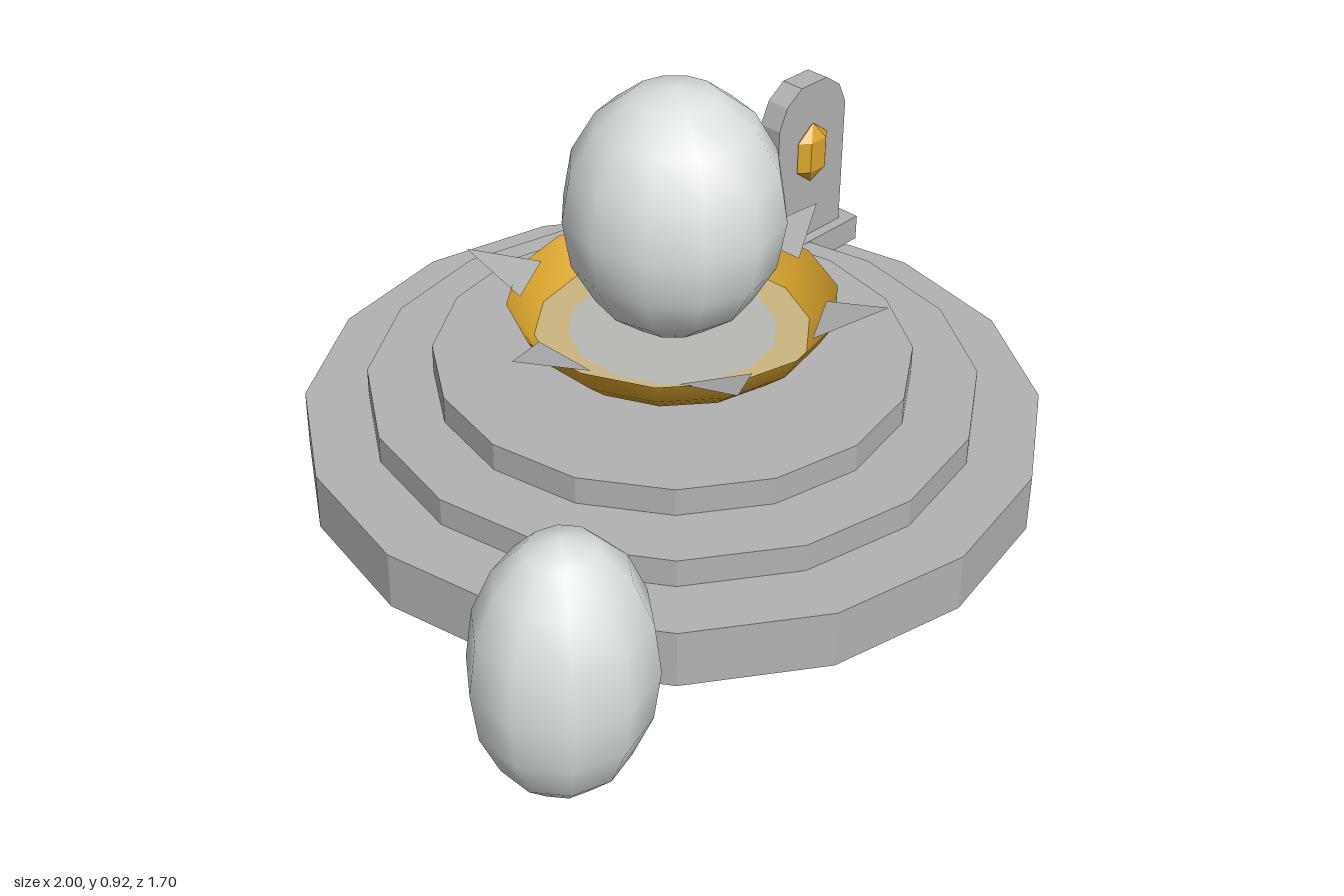
import * as THREE from 'three';

const CX = 0.16, CZ = -0.015; // axis of the dais

const mat = (name, color, extra = {}) => {
  const m = new THREE.MeshStandardMaterial({ color, ...extra });
  m.name = name;
  return m;
};

export function createModel() {
  const group = new THREE.Group();
  group.name = 'eggShrine';
  const stone = mat('stone', 0xb2b2b2, { flatShading: true, side: THREE.DoubleSide });
  const shell = mat('eggShell', 0xdbe1de);
  const gold = mat('gold', 0xdaa52c, { side: THREE.DoubleSide });
  const gemGold = mat('gemGold', 0xdaa52c, { flatShading: true });
  const tan = mat('poolEdge', 0xccb582, { side: THREE.DoubleSide });
  const pale = mat('poolCentre', 0xb9b9b5, { side: THREE.DoubleSide });

  const add = (name, geometry, material, x = 0, y = 0, z = 0) => {
    const mesh = new THREE.Mesh(geometry, material);
    mesh.name = name;
    mesh.position.set(x, y, z);
    group.add(mesh);
    return mesh;
  };
  const lathe = (pts, sides) =>
    new THREE.LatheGeometry(pts.map(p => new THREE.Vector2(...p)), sides);

  // Hollow three-step dais, open underneath
  add('steppedDais', lathe([
    [0.835, 0], [0.835, 0.135], [0.69, 0.135], [0.69, 0.2],
    [0.54, 0.2], [0.54, 0.265], [0, 0.265],
  ], 16), stone, CX, 0, CZ);

  // Shallow dish with a pool in it
  add('dish', lathe([[0.225, 0.265], [0.28, 0.292], [0.335, 0.34], [0.37, 0.4]], 14), gold, CX, 0, CZ);
  const ring = (name, inner, outer, material) => {
    const g = new THREE.RingGeometry(inner, outer, 14, 1, Math.PI / 2);
    add(name, g.rotateX(-Math.PI / 2), material, CX, 0.318, CZ);
  };
  ring('poolEdge', 0.235, 0.31, tan);
  ring('poolCentre', 0, 0.235, pale);

  // Six flat thorns around the dish rim
  const thorn = new THREE.BufferGeometry();
  thorn.setAttribute('position', new THREE.Float32BufferAttribute(
    [0.33, 0.39, 0.08, 0.48, 0.445, 0, 0.33, 0.39, -0.08], 3));
  thorn.computeVertexNormals();
  for (let i = 0; i < 6; i++) {
    add('rimThorn', thorn, stone, CX, 0, CZ).rotation.y = i * Math.PI / 3;
  }

  // Eggs: faceted ellipsoids with a vertex row along z
  const egg = (name, sides, r, h, x, y, z) => {
    const g = new THREE.SphereGeometry(1, sides, 8, Math.PI / 2);
    add(name, g, shell, x, y, z).scale.set(r[0], h, r[1]);
  };
  egg('mainEgg', 12, [0.25, 0.25], 0.295, CX, 0.62, CZ);
  egg('sideEgg', 10, [0.183, 0.171], 0.28, -0.826, 0.36, 0.675);

  // Arched marker stone on a plinth
  add('markerPlinth', new THREE.BoxGeometry(0.32, 0.065, 0.12), stone, 0.84, 0.1685, -0.24);
  const arch = new THREE.Shape([
    [-0.12, 0.2], [0.12, 0.2], [0.12, 0.53], [0.095, 0.585],
    [0.045, 0.62], [-0.045, 0.62], [-0.095, 0.585], [-0.12, 0.53],
  ].map(p => new THREE.Vector2(...p)));
  add('markerStone', new THREE.ExtrudeGeometry(arch, { depth: 0.06, bevelEnabled: false }),
    stone, 0.84, 0, -0.267);

  // Gem set in the marker's face
  add('markerGem', new THREE.SphereGeometry(1, 6, 3), gemGold, 0.838, 0.435, -0.203)
    .scale.set(0.06, 0.08, 0.028);

  return group;
}
